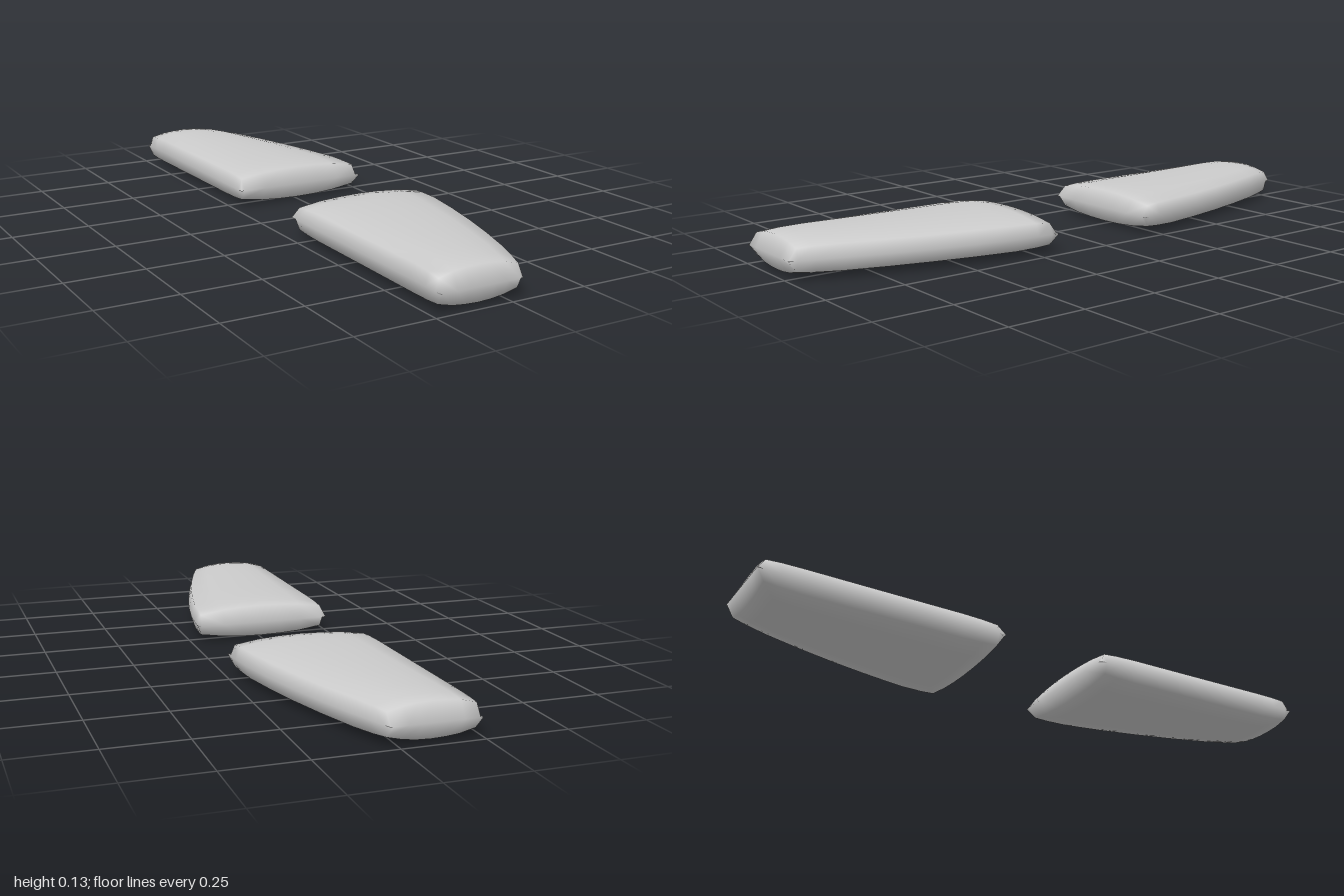
import * as THREE from 'three';
import { mergeVertices } from 'three/addons/utils/BufferGeometryUtils.js';

const MID = 0.063; // half thickness, also the height of the rim

// Piecewise-linear lookup in a list of [position, value] pairs
function lookup(table, t) {
  for (let i = 1; i < table.length; i++) {
    const [a, va] = table[i - 1], [b, vb] = table[i];
    if (t <= b) return THREE.MathUtils.lerp(va, vb, (t - a) / (b - a));
  }
  return table[table.length - 1][1];
}

// Plan outline: x of the straight and the curved edge along z
const straightEdge = [[0.18, -0.232], [0.85, -0.234], [1, -0.238]];
const curvedEdge = [[0.18, 0.235], [0.34, 0.22], [0.5, 0.188], [0.66, 0.148], [0.82, 0.098], [1, 0.032]];

// Thickness profiles across the width and along the length
const across = [[0, 0], [0.03, 0.67], [0.2, 0.89], [0.35, 0.97], [0.5, 1], [0.65, 0.97], [0.8, 0.87], [0.97, 0.65], [1, 0]];
const along = [[0, 0], [0.03, 0.85], [0.09, 0.95], [0.18, 1], [0.34, 1], [0.5, 1], [0.66, 1], [0.82, 1], [0.91, 0.95], [0.97, 0.85], [1, 0]];

// Pillow-shaped pad lofted from closed cross-sections; side is +1 or -1 along z
function padGeometry(side) {
  const ring = [
    ...across.map(([u, h]) => [u, h]),
    ...across.slice(1, -1).reverse().map(([u, h]) => [u, -h]),
  ];
  const n = ring.length, position = [], index = [];
  along.forEach(([v, thick], row) => {
    const z = THREE.MathUtils.lerp(0.18, 1, v);
    const x0 = lookup(straightEdge, z), x1 = lookup(curvedEdge, z);
    ring.forEach(([u, h], i) => {
      position.push(THREE.MathUtils.lerp(x0, x1, u), MID + MID * h * thick, z * side);
      if (row === 0) return;
      const j = (i + 1) % n, p = (row - 1) * n, q = row * n;
      const quad = [p + i, q + i, q + j, p + i, q + j, p + j];
      index.push(...(side > 0 ? quad : quad.reverse()));
    });
  });
  const geometry = new THREE.BufferGeometry();
  geometry.setAttribute('position', new THREE.Float32BufferAttribute(position, 3));
  geometry.setIndex(index);
  const merged = mergeVertices(geometry, 1e-5); // weld the collapsed end rims
  merged.computeVertexNormals();
  return merged;
}

export function createModel() {
  const group = new THREE.Group();
  group.name = 'padPair';
  const material = new THREE.MeshStandardMaterial({ color: 0xcccccc });
  for (const [name, side] of [['frontPad', 1], ['backPad', -1]]) {
    const pad = new THREE.Mesh(padGeometry(side), material);
    pad.name = name;
    group.add(pad);
  }
  return group;
}
